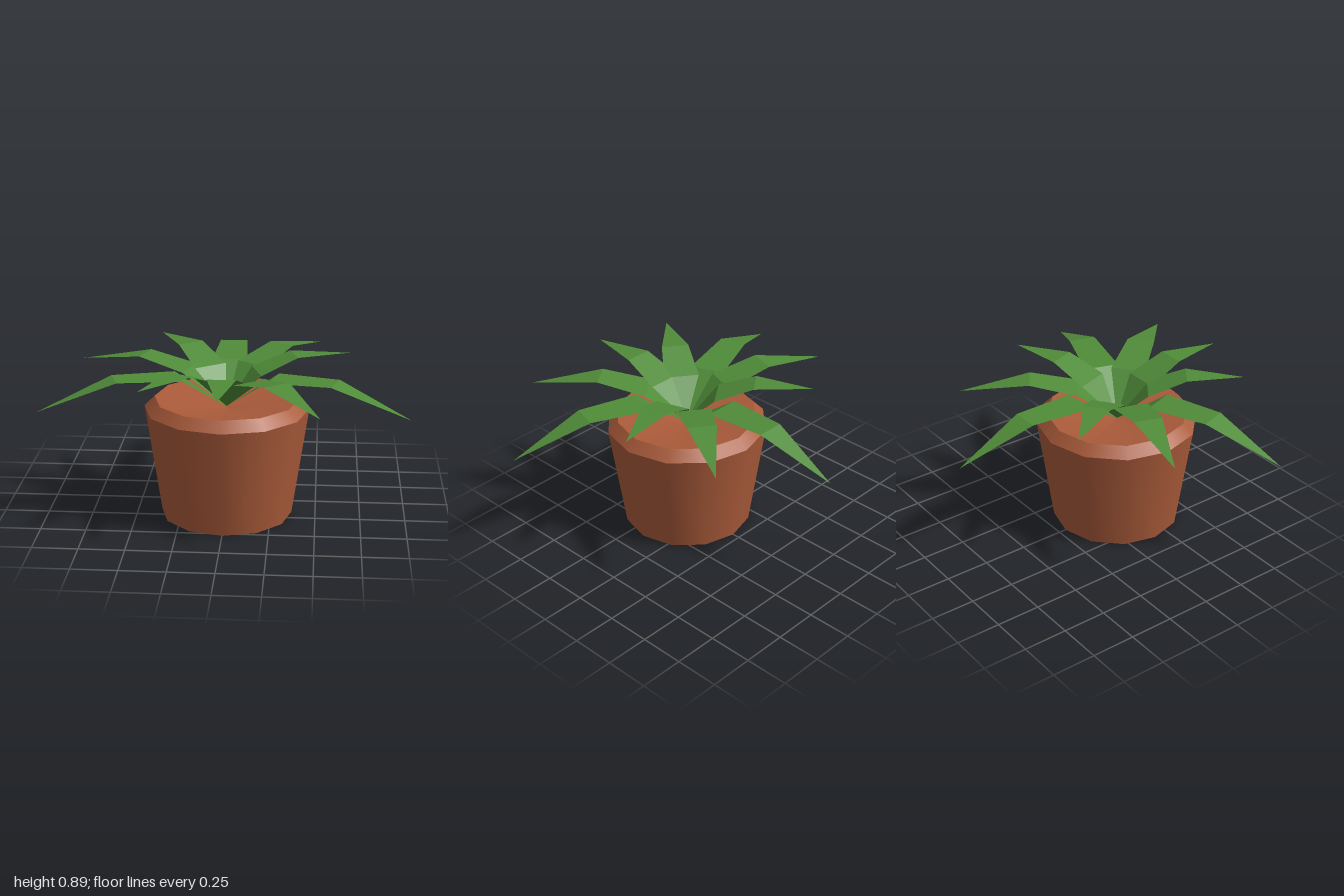
import * as THREE from 'three';

const CENTRE_Z = 0.16;

// One flat leaf along +x, from cross-sections [radius, height, halfWidth]
function leafGeometry(sections) {
  const pos = [];
  sections.forEach(([r, y, w]) => pos.push(r, y, w, r, y, -w));
  const index = [];
  for (let i = 0; i < sections.length - 1; i++) {
    const a = i * 2;
    if (sections[i][2] > 0) index.push(a, a + 2, a + 1);
    if (sections[i + 1][2] > 0) index.push(a + 1, a + 2, a + 3);
  }
  const geo = new THREE.BufferGeometry();
  geo.setAttribute('position', new THREE.Float32BufferAttribute(pos, 3));
  geo.setIndex(index);
  const flat = geo.toNonIndexed();
  flat.computeVertexNormals();
  return flat;
}

export function createModel() {
  const model = new THREE.Group();
  model.name = 'pottedPlant';
  const terracotta = new THREE.MeshStandardMaterial({ color: 0xaa5b3a });
  terracotta.name = 'terracotta';
  const green = new THREE.MeshStandardMaterial({ color: 0x508c39, side: THREE.DoubleSide });
  green.name = 'leafGreen';

  // Pot: each band is its own lathe, so the edges between bands stay sharp
  const pot = new THREE.Group();
  pot.name = 'pot';
  const bands = [
    ['potBase', 0, 0, 0.367, 0],
    ['potWall', 0.367, 0, 0.457, 0.615],
    ['potRim', 0.457, 0.615, 0.4, 0.672],
    ['potInside', 0.4, 0.672, 0, 0.61],
  ];
  for (const [name, r0, y0, r1, y1] of bands) {
    const profile = [new THREE.Vector2(r0, y0), new THREE.Vector2(r1, y1)];
    const mesh = new THREE.Mesh(new THREE.LatheGeometry(profile, 12), terracotta);
    mesh.name = name;
    pot.add(mesh);
  }
  pot.position.z = CENTRE_Z;
  model.add(pot);

  // Leaves: three lengths, arching out every 36 degrees
  const kinds = {
    long: leafGeometry([[0, 0.62, 0], [0.27, 0.812, 0.1], [0.625, 0.823, 0.078], [1.05, 0.67, 0]]),
    medium: leafGeometry([[0, 0.62, 0], [0.22, 0.815, 0.1], [0.49, 0.873, 0.08], [0.882, 0.8, 0]]),
    short: leafGeometry([[0, 0.62, 0], [0.17, 0.81, 0.1], [0.385, 0.892, 0.078], [0.71, 0.877, 0]]),
  };
  const order = ['long', 'medium', 'short', 'short', 'long', 'medium', 'short', 'long', 'medium', 'short'];
  const leaves = new THREE.Group();
  leaves.name = 'leaves';
  order.forEach((kind, i) => {
    const leaf = new THREE.Mesh(kinds[kind], green);
    leaf.name = kind + 'Leaf';
    leaf.rotation.y = -THREE.MathUtils.degToRad(18 + i * 36);
    leaves.add(leaf);
  });
  leaves.position.z = CENTRE_Z;
  model.add(leaves);
  return model;
}
